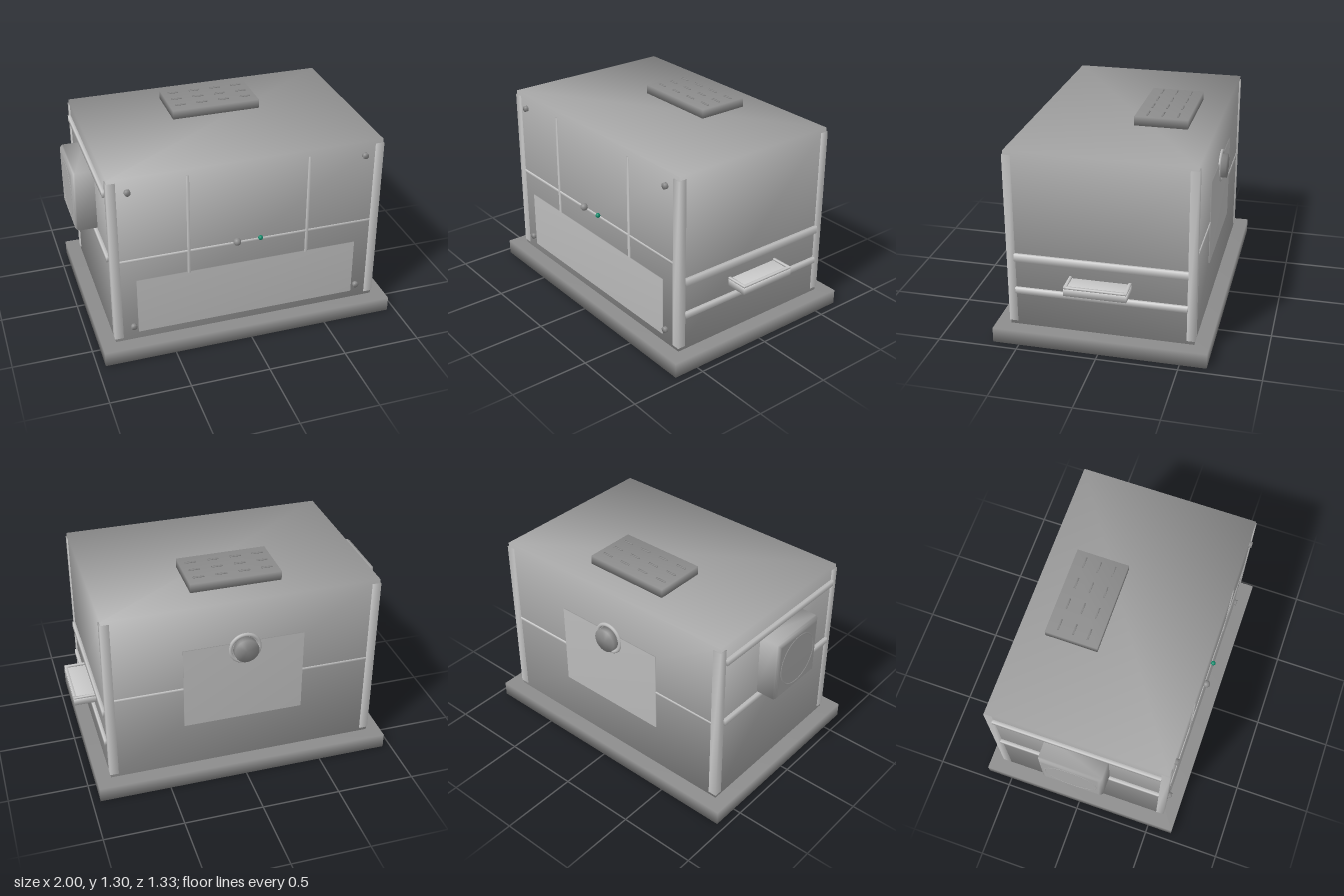
import * as THREE from 'three';
import { mergeVertices } from 'three/addons/utils/BufferGeometryUtils.js';

// Shares vertices across edges so the shading runs softly round every corner
function soften(geometry) {
  geometry.deleteAttribute('normal');
  geometry.deleteAttribute('uv');
  const merged = mergeVertices(geometry, 1e-4);
  merged.computeVertexNormals();
  return merged;
}

export function createModel() {
  const model = new THREE.Group();
  const paint = (color) => new THREE.MeshStandardMaterial({ color });
  const light = paint(0xcccccc);
  const panel = paint(0xbababa);
  const shell = paint(0xaaaaaa);
  const dark = paint(0x8b8b8b);
  const green = paint(0x0f8a6a);

  const add = (name, geometry, material, x, y, z) => {
    const mesh = new THREE.Mesh(soften(geometry), material);
    mesh.name = name;
    mesh.position.set(x, y, z);
    model.add(mesh);
  };
  // Box given by its minimum and maximum on each axis
  const box = (name, material, x0, x1, y0, y1, z0, z1) =>
    add(name, new THREE.BoxGeometry(x1 - x0, y1 - y0, z1 - z0), material,
      (x0 + x1) / 2, (y0 + y1) / 2, (z0 + z1) / 2);
  // Cylinder lying along z
  const disc = (name, material, r, depth, x, y, z) =>
    add(name, new THREE.CylinderGeometry(r, r, depth, 32).rotateX(Math.PI / 2), material, x, y, z);

  // Plinth and cabinet
  box('base', dark, -0.95, 0.95, 0, 0.096, -0.665, 0.665);
  box('cabinet', shell, -0.86, 0.86, 0.096, 1.24, -0.573, 0.573);

  // Corner posts
  for (const sx of [-1, 1]) {
    for (const sz of [-1, 1]) {
      add('cornerPost', new THREE.BoxGeometry(0.055, 1.095, 0.052), light,
        sx * 0.838, 0.667, sz * 0.553);
    }
  }

  // Side rails
  const rail = (x, y, h) =>
    add('sideRail', new THREE.BoxGeometry(0.034, h, 1.06), light, x, y, 0);
  rail(0.862, 0.56, 0.048);
  rail(0.862, 0.338, 0.038);
  rail(-0.862, 1.128, 0.038);
  rail(-0.862, 0.685, 0.038);

  // Horizontal seams, front ribs and front panel
  for (const s of [-1, 1]) {
    box('seam', light, -0.815, 0.815, 0.668, 0.684, s * 0.573 - 0.005, s * 0.573 + 0.005);
    box('frontRib', light, s * 0.382 - 0.009, s * 0.382 + 0.009, 0.52, 1.195, 0.568, 0.579);
  }
  box('frontPanel', panel, -0.713, 0.713, 0.147, 0.527, 0.568, 0.579);

  // Front screws, knob and indicator lamp
  for (const x of [-0.743, 0.743]) {
    for (const y of [0.195, 1.147]) {
      disc('screw', dark, 0.019, 0.024, x, y, 0.581);
    }
  }
  add('knob', new THREE.SphereGeometry(0.024, 24, 16), dark, -0.078, 0.69, 0.588);
  add('indicatorLamp', new THREE.SphereGeometry(0.015, 20, 14), green, 0.073, 0.69, 0.587);

  // Rear panel with exhaust port
  box('rearPanel', panel, -0.382, 0.382, 0.4, 0.95, -0.58, -0.57);
  disc('portBody', dark, 0.077, 0.05, -0.005, 0.907, -0.593);
  add('portFlange', new THREE.TorusGeometry(0.093, 0.012, 12, 40), panel, -0.005, 0.907, -0.576);

  // Side blower housing: a square block with a rounded outer edge and a cover ring
  const h = 0.175;
  const square = new THREE.Shape([
    new THREE.Vector2(-h, -h), new THREE.Vector2(h, -h),
    new THREE.Vector2(h, h), new THREE.Vector2(-h, h),
  ]);
  const housing = new THREE.ExtrudeGeometry(square, {
    depth: 0.13, bevelSize: 0.025, bevelThickness: 0.025, bevelSegments: 4,
  });
  add('blowerHousing', housing.rotateY(-Math.PI / 2), shell, -0.843, 0.91, 0);
  add('blowerRing', new THREE.TorusGeometry(0.165, 0.009, 10, 48).rotateY(Math.PI / 2), shell,
    -0.991, 0.91, 0);

  // Side tray with a raised rim
  box('tray', light, 0.85, 1.0, 0.41, 0.456, -0.19, 0.19);
  for (const s of [-1, 1]) {
    box('trayRim', light, 0.85, 1.0, 0.456, 0.468, s * 0.182 - 0.008, s * 0.182 + 0.008);
  }
  box('trayRim', light, 0.982, 1.0, 0.456, 0.468, -0.175, 0.175);

  // Roof vent with slats
  box('roofVent', dark, -0.286, 0.286, 1.24, 1.298, -0.406, -0.073);
  for (const x of [-0.215, -0.072, 0.072, 0.215]) {
    for (const z of [-0.335, -0.24, -0.147]) {
      box('ventSlat', dark, x - 0.035, x + 0.035, 1.295, 1.304, z - 0.005, z + 0.005);
    }
  }

  return model;
}
